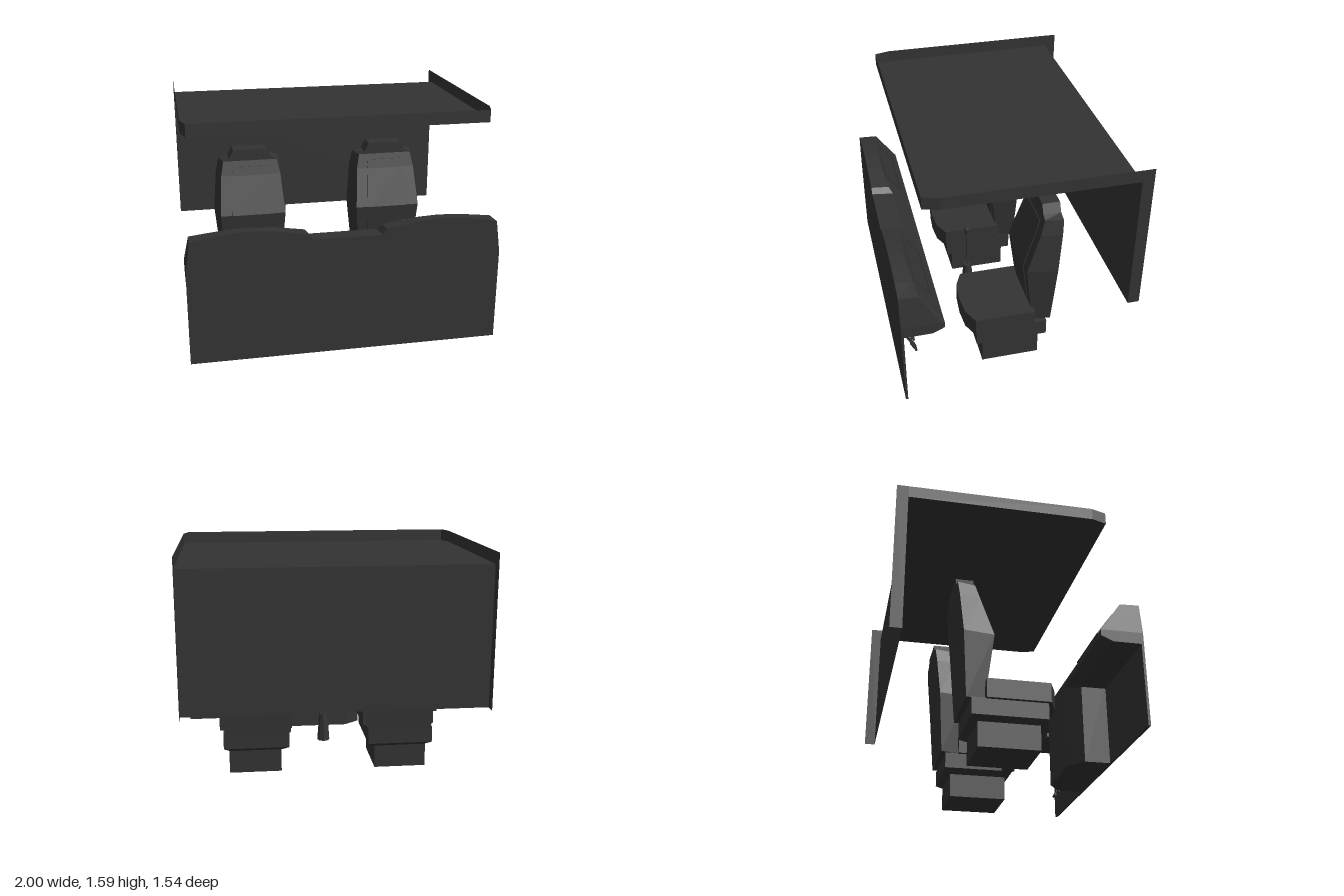
import * as THREE from 'three';

const charcoal = new THREE.MeshStandardMaterial({ color: 0x333333, side: THREE.DoubleSide });
charcoal.name = 'charcoal';

function add(parent, name, geometry, x = 0, y = 0, z = 0) {
  const mesh = new THREE.Mesh(geometry, charcoal);
  mesh.name = name;
  mesh.position.set(x, y, z);
  parent.add(mesh);
  return mesh;
}

const box = (w, h, d) => new THREE.BoxGeometry(w, h, d);

// Flat-shaded skin over rows of [x, y, z] points; closed rows get end caps.
function loft(rows, closed = true) {
  const out = [];
  const n = rows[0].length;
  const tri = (a, b, c) => out.push(...a, ...b, ...c);
  for (let i = 0; i < rows.length - 1; i++) {
    for (let j = 0; j < (closed ? n : n - 1); j++) {
      const k = (j + 1) % n;
      tri(rows[i][j], rows[i][k], rows[i + 1][k]);
      tri(rows[i][j], rows[i + 1][k], rows[i + 1][j]);
    }
  }
  if (closed) {
    const first = rows[0], last = rows[rows.length - 1];
    for (let j = 1; j < n - 1; j++) {
      tri(first[0], first[j + 1], first[j]);
      tri(last[0], last[j], last[j + 1]);
    }
  }
  const g = new THREE.BufferGeometry();
  g.setAttribute('position', new THREE.Float32BufferAttribute(out, 3));
  g.computeVertexNormals();
  return g;
}

// Four-sided horizontal section, front edge a little narrower than the back.
const ring = (y, zf, zb, hw, taper = 1) => [
  [hw * taper, y, zf], [hw, y, zb], [-hw, y, zb], [-hw * taper, y, zf],
];

// Prism standing on a plan outline of [x, z] points.
const prism = (plan, y0, y1) => loft([y0, y1].map(y => plan.map(([x, z]) => [x, y, z])));

function makeCabShell() {
  const g = new THREE.Group();
  g.name = 'cabShell';
  const low = 1.505, high = 1.585, back = -0.695;
  const edge = [[-0.98, back], [-0.98, 0.5], [-0.95, 0.6], [0.95, 0.6], [0.98, 0.5], [0.98, back]];
  // Open tray roof with a thin upright rim
  const roof = new THREE.ShapeGeometry(new THREE.Shape(edge.map(([x, z]) => new THREE.Vector2(x, -z))));
  add(g, 'roofPanel', roof.rotateX(-Math.PI / 2), 0, low, 0);
  add(g, 'roofRim', loft([low, high].map(y => edge.map(([x, z]) => [x, y, z])), false));
  // Rear wall and its thin side flanges
  add(g, 'rearWall', loft([0.58, low].map(y => [[0.98, y, back], [-0.98, y, back]]), false));
  for (const s of [-1, 1]) {
    add(g, 'rearWallFlange', loft([0.58, high].map(y => [[s * 0.98, y, back], [s * 0.98, y, -0.77]]), false));
  }
  return g;
}

function makeDashboard() {
  const g = new THREE.Group();
  g.name = 'dashboard';
  add(g, 'frontPanel', box(2, 0.535, 0.015), 0, 0.3525, 0.7625);

  // Padded top: x, front height, crease z, crease height
  const half = [
    [1, 0.69, 0.52, 0.69], [0.97, 0.9, 0.645, 0.895], [0.85, 0.925, 0.66, 0.915], [0.72, 0.942, 0.67, 0.932],
    [0.6, 0.948, 0.677, 0.938], [0.45, 0.938, 0.67, 0.928], [0.25, 0.9, 0.65, 0.89], [0.22, 0.865, 0.625, 0.85],
  ];
  const stations = [...half, ...half.slice().reverse().map(([x, ...r]) => [-x, ...r])];
  add(g, 'dashTop', loft(stations.map(([x, top, cz, cy]) => [
    [x, 0.615, 0.77], [x, top, 0.77], [x, cy, cz], [x, 0.688, 0.5], [x, 0.65, 0.5], [x, 0.615, 0.575],
  ])));

  // Centre console with angled sides
  add(g, 'centreConsole', prism(
    [[0.32, 0.76], [0.32, 0.585], [0.21, 0.5], [-0.21, 0.5], [-0.32, 0.585], [-0.32, 0.76]], 0.085, 0.66));

  // Framed displays on the sloping face
  for (const s of [-1, 1]) {
    const frame = new THREE.Group();
    frame.name = 'displayFrame';
    frame.position.set(s * 0.597, 0.833, 0.6);
    frame.lookAt(s * 0.597, 0.833 + 0.59, 0.6 - 0.81);
    for (const e of [-1, 1]) {
      add(frame, 'displayLongEdge', box(0.43, 0.012, 0.014), 0, e * 0.085, 0);
      add(frame, 'displayShortEdge', box(0.012, 0.17, 0.014), e * 0.209, 0, 0);
    }
    g.add(frame);
  }

  // Steering column stub and pedals on the driver's side
  add(g, 'steeringColumn', box(0.08, 0.035, 0.06), 0.6, 0.603, 0.615);
  for (const x of [0.5, 0.6]) {
    const arm = add(g, 'pedalArm', box(0.018, 0.225, 0.012), x, 0.238, 0.69);
    arm.rotation.x = 0.47;
    const pad = add(g, 'pedalPad', box(0.06, 0.08, 0.012), x, 0.165, 0.653);
    pad.rotation.x = 0.47;
  }
  return g;
}

function makeSeat(side) {
  const g = new THREE.Group();
  g.name = side > 0 ? 'leftSeat' : 'rightSeat';
  g.position.x = side * 0.5;
  // Stepped pedestal
  add(g, 'seatBase', box(0.36, 0.16, 0.39), side * 0.008, 0.08, 0);
  add(g, 'seatSuspension', loft([
    ring(0.16, 0.195, -0.195, 0.18), ring(0.19, 0.24, -0.24, 0.225), ring(0.3, 0.24, -0.24, 0.225),
  ]));
  // Cushion with a bowed front edge
  add(g, 'seatCushion', prism([
    [0.25, 0.25], [0.25, -0.15], [-0.25, -0.15], [-0.25, 0.25], [-0.14, 0.3], [0, 0.31], [0.14, 0.3],
  ], 0.295, 0.42));
  // Backrest, its raised pad, and the headrest
  const rest = new THREE.Group();
  rest.name = 'backrest';
  rest.position.x = side * -0.012;
  g.add(rest);
  add(rest, 'backrestShell', loft([
    ring(0.305, -0.15, -0.27, 0.22, 0.9), ring(0.735, -0.095, -0.295, 0.26, 0.88),
    ring(1.0, -0.185, -0.32, 0.238, 0.88), ring(1.1, -0.213, -0.33, 0.215, 0.88),
  ]));
  add(rest, 'backrestPad', loft([
    ring(0.43, -0.128, -0.16, 0.13), ring(0.735, -0.089, -0.13, 0.15),
    ring(1.0, -0.179, -0.21, 0.135), ring(1.06, -0.196, -0.23, 0.125),
  ]));
  add(rest, 'headrest', loft([
    ring(1.1, -0.213, -0.33, 0.215, 0.88), ring(1.118, -0.213, -0.33, 0.15), ring(1.178, -0.213, -0.33, 0.118),
  ]));
  return g;
}

function makeGearLever() {
  const g = new THREE.Group();
  g.name = 'gearLever';
  g.position.z = 0.145;
  const post = (top, bottom, h, sides) => new THREE.CylinderGeometry(top, bottom, h, sides).toNonIndexed();
  const parts = [
    ['leverBoot', post(0.03, 0.045, 0.2, 8), 0.2],
    ['leverRod', post(0.006, 0.006, 0.3, 8), 0.44],
    ['leverKnob', post(0.02, 0.011, 0.045, 8), 0.5925],
    ['leverCap', post(0.013, 0.02, 0.015, 8), 0.6225],
  ];
  for (const [name, geo, y] of parts) {
    geo.computeVertexNormals();
    add(g, name, geo, 0, y, 0);
  }
  return g;
}

export function createModel() {
  const model = new THREE.Group();
  model.name = 'vehicleCabInterior';
  model.add(makeCabShell(), makeDashboard(), makeSeat(1), makeSeat(-1), makeGearLever());
  return model;
}
